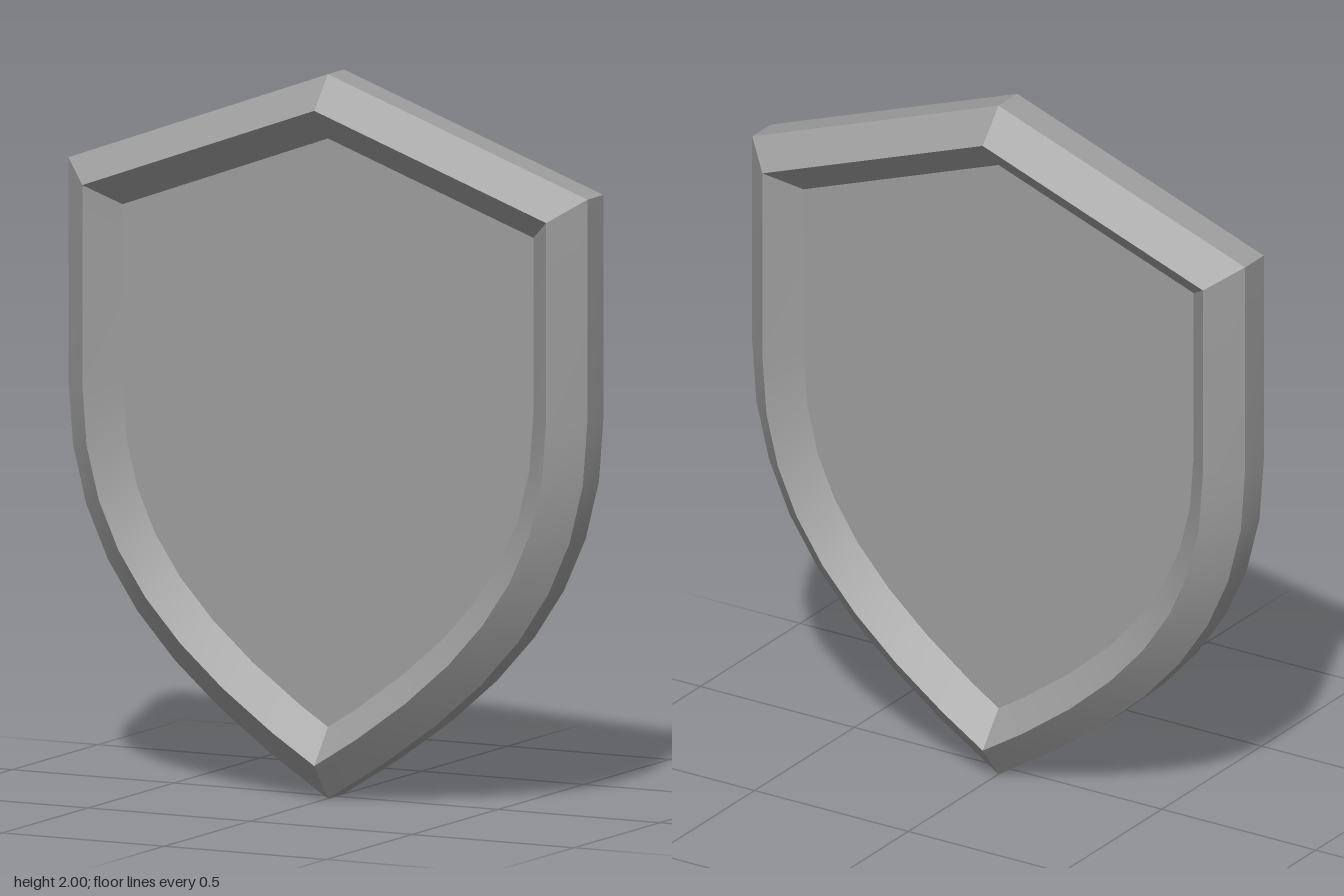
import * as THREE from 'three';
import { toCreasedNormals } from 'three/addons/utils/BufferGeometryUtils.js';

const RIM_Z = 0.047;    // half thickness of the outer wall and the panel
const RIDGE_Z = 0.127;  // half thickness at the crest of the rim

// Full outline, counter-clockwise: curved lower flanks, straight sides, peaked top
function outline() {
  const flank = new THREE.CubicBezierCurve(
    new THREE.Vector2(0, 0), new THREE.Vector2(0.5, 0.3),
    new THREE.Vector2(0.801, 0.6), new THREE.Vector2(0.801, 1.1),
  );
  const half = [...flank.getPoints(8), new THREE.Vector2(0.801, 1.712)];
  const mirrored = half.slice(1).reverse().map((p) => new THREE.Vector2(-p.x, p.y));
  return [...half, new THREE.Vector2(0, 2), ...mirrored];
}

// Mitred inward offset of a closed counter-clockwise outline
function inset(points, distance) {
  const n = points.length;
  const normal = (a, b) => new THREE.Vector2(a.y - b.y, b.x - a.x).normalize();
  return points.map((p, i) => {
    const n1 = normal(points[(i + n - 1) % n], p);
    const n2 = normal(p, points[(i + 1) % n]);
    const miter = n1.clone().add(n2).divideScalar(1 + n1.dot(n2));
    return p.clone().addScaledVector(miter, distance);
  });
}

// Sweep a cross-section of [inset, z] pairs around the outline
function sweepRim(points, profile) {
  const rings = profile.map(([d, z]) => inset(points, d).map((p) => [p.x, p.y, z]));
  const positions = [];
  for (let k = 0; k < rings.length - 1; k++) {
    for (let i = 0; i < points.length; i++) {
      const j = (i + 1) % points.length;
      const a = rings[k][i], b = rings[k][j], c = rings[k + 1][j], d = rings[k + 1][i];
      positions.push(...a, ...d, ...c, ...a, ...c, ...b);
    }
  }
  const geometry = new THREE.BufferGeometry();
  geometry.setAttribute('position', new THREE.Float32BufferAttribute(positions, 3));
  return toCreasedNormals(geometry, 0.3);
}

export function createModel() {
  const group = new THREE.Group();
  group.name = 'shield';
  const material = new THREE.MeshStandardMaterial({ color: 0x9d9d9d });
  const points = outline();

  // Raised rim, bevelled on both faces
  const rim = new THREE.Mesh(sweepRim(points, [
    [0.167, RIM_Z], [0.085, RIDGE_Z], [0, RIM_Z],
    [0, -RIM_Z], [0.085, -RIDGE_Z], [0.167, -RIM_Z],
  ]), material);
  rim.name = 'rim';
  group.add(rim);

  // Flat panel, recessed on the front and back
  const panelGeometry = new THREE.ExtrudeGeometry(new THREE.Shape(inset(points, 0.167)), {
    depth: 2 * RIM_Z, bevelEnabled: false,
  });
  panelGeometry.translate(0, 0, -RIM_Z);
  const panel = new THREE.Mesh(panelGeometry, material);
  panel.name = 'panel';
  group.add(panel);

  return group;
}
